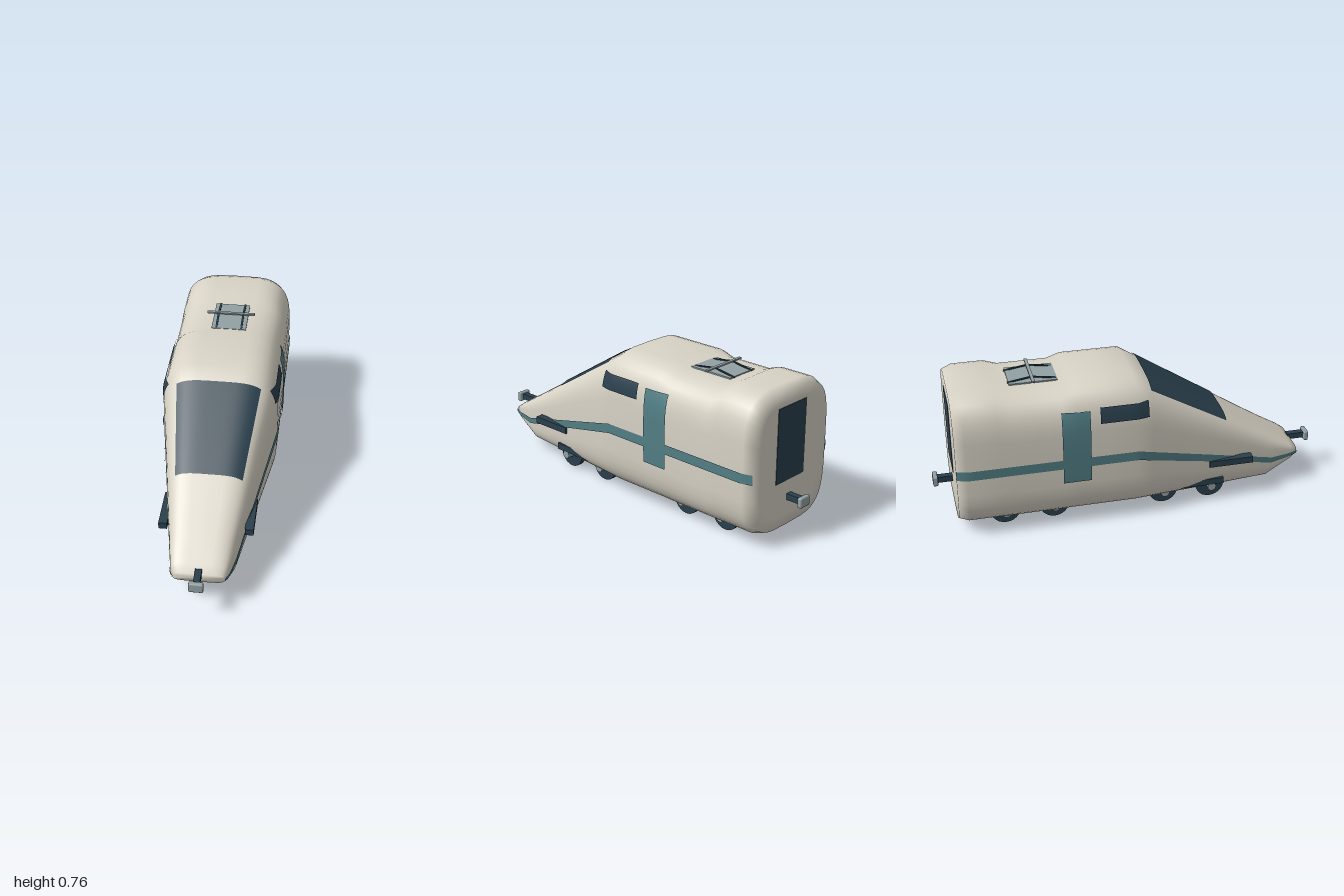
import * as THREE from 'three';
import { RoundedBoxGeometry } from 'three/addons/geometries/RoundedBoxGeometry.js';

// Hull stations: z, half width, bottom y, top y
const STATIONS = [
  [-0.9, 0.275, 0.055, 0.742], [-0.85, 0.293, 0.04, 0.76], [-0.69, 0.293, 0.04, 0.76],
  [-0.62, 0.293, 0.04, 0.735], [-0.37, 0.293, 0.04, 0.735], [-0.3, 0.293, 0.04, 0.76],
  [-0.15, 0.293, 0.04, 0.76], [0, 0.293, 0.04, 0.76], [0.08, 0.279, 0.04, 0.71],
  [0.3, 0.239, 0.04, 0.573], [0.49, 0.205, 0.04, 0.455], [0.73, 0.162, 0.042, 0.306],
  [0.86, 0.138, 0.122, 0.227], [0.9, 0.12, 0.15, 0.198],
];
// Side stripe: z, bottom y, top y
const STRIPE = [[-0.9, 0.35, 0.4], [0, 0.35, 0.4], [0.75, 0.147, 0.178], [0.9, 0.165, 0.18]];

// Piecewise linear lookup in a table keyed by z
function lookup(table, z) {
  let i = 0;
  while (i < table.length - 2 && z > table[i + 1][0]) i++;
  const a = table[i], b = table[i + 1];
  const t = (z - a[0]) / (b[0] - a[0]);
  return a.slice(1).map((v, k) => THREE.MathUtils.lerp(v, b[k + 1], t));
}

// Points on the fourth-power superellipse hull
const curve = (r) => Math.pow(Math.max(0, 1 - r ** 4), 0.25);
function sideX(z, y) {
  const [w, lo, hi] = lookup(STATIONS, z);
  return w * curve((y - (lo + hi) / 2) / ((hi - lo) / 2));
}
function topY(z, x) {
  const [w, lo, hi] = lookup(STATIONS, z);
  return (lo + hi) / 2 + ((hi - lo) / 2) * curve(x / w);
}

function hullGeometry() {
  const N = 40, pos = [], index = [];
  // An inset ring at the rear keeps the end wall flat
  const rings = [[-0.9, 0.225, 0.115, 0.685], ...STATIONS];
  const root = (v) => Math.sign(v) * Math.sqrt(Math.abs(v));
  for (const [z, w, lo, hi] of rings) {
    for (let i = 0; i < N; i++) {
      const a = (i / N) * Math.PI * 2;
      pos.push(w * root(Math.cos(a)), (lo + hi) / 2 + ((hi - lo) / 2) * root(Math.sin(a)), z);
    }
  }
  for (let r = 0; r < rings.length - 1; r++) {
    for (let i = 0; i < N; i++) {
      const j = (i + 1) % N;
      const a = r * N + i, b = r * N + j, c = a + N, d = b + N;
      index.push(a, b, d, a, d, c);
    }
  }
  // End caps
  const rear = rings.length * N, front = rear + 1, last = (rings.length - 1) * N;
  pos.push(0, 0.4, -0.9, 0, 0.174, 0.9);
  for (let i = 0; i < N; i++) {
    const j = (i + 1) % N;
    index.push(rear, j, i, front, last + i, last + j);
  }
  return surface(pos, index);
}

function surface(pos, index) {
  const g = new THREE.BufferGeometry();
  g.setAttribute('position', new THREE.Float32BufferAttribute(pos, 3));
  g.setIndex(index);
  g.computeVertexNormals();
  return g;
}

// Grid surface from a rule (u, v) -> [x, y, z]
function patch(nu, nv, rule) {
  const pos = [], index = [];
  for (let i = 0; i <= nu; i++) for (let j = 0; j <= nv; j++) pos.push(...rule(i / nu, j / nv));
  for (let i = 0; i < nu; i++) {
    for (let j = 0; j < nv; j++) {
      const a = i * (nv + 1) + j, b = a + nv + 1;
      index.push(a, b, b + 1, a, b + 1, a + 1);
    }
  }
  return surface(pos, index);
}

export function createModel() {
  const group = new THREE.Group();
  const material = (name, color, side = THREE.FrontSide) => {
    const m = new THREE.MeshStandardMaterial({ color, side });
    m.name = name;
    return m;
  };
  const cream = material('cream paint', 0xd8d3c6);
  const teal = material('teal paint', 0x527f86, THREE.DoubleSide);
  const dark = material('dark blue grey', 0x2a404d, THREE.DoubleSide);
  const grey = material('light grey metal', 0x93a1a4);

  const add = (name, geometry, mat, x = 0, y = 0, z = 0) => {
    const mesh = new THREE.Mesh(geometry, mat);
    mesh.name = name;
    mesh.position.set(x, y, z);
    group.add(mesh);
    return mesh;
  };
  const box = (name, mat, w, h, d, x, y, z) => add(name, new THREE.BoxGeometry(w, h, d), mat, x, y, z);
  const lerp = THREE.MathUtils.lerp;

  add('body', hullGeometry(), cream);

  // Windshield follows the sloping nose
  add('windshield', patch(12, 20, (u, v) => {
    const z = lerp(0.08, 0.49, u);
    const x = lerp(0.21, 0.163, u) * (v * 2 - 1);
    return [x, topY(z, x) + 0.006, z];
  }), dark);

  for (const [label, s] of [['left', 1], ['right', -1]]) {
    // Painted parts and glass wrapped on the flank
    const panel = (name, mat, z0, z1, y0, y1) => add(name, patch(8, 12, (u, v) => {
      const z = lerp(z0, z1, u), y = lerp(y0, y1, v);
      return [s * (sideX(z, y) + 0.007), y, z];
    }), mat);
    add(label + 'Stripe', patch(60, 3, (u, v) => {
      const z = lerp(-0.9, 0.9, u);
      const [lo, hi] = lookup(STRIPE, z);
      const y = lerp(lo, hi, v);
      return [s * (sideX(z, y) + 0.005), y, z];
    }), teal);
    panel(label + 'Door', teal, -0.38, -0.24, 0.27, 0.65);
    panel(label + 'CabWindow', dark, -0.19, 0.055, 0.58, 0.66);

    box(label + 'Headlight', dark, 0.042, 0.035, 0.23, s * 0.21, 0.225, 0.505);

    // Bogie frames and wheels
    for (const zc of [0.285, -0.535]) {
      box(label + 'BogieFrame', dark, 0.025, 0.033, 0.37, s * 0.205, 0.112, zc);
      for (const dz of [0.125, -0.125]) {
        const wheel = new THREE.CylinderGeometry(0.075, 0.075, 0.028, 24).rotateZ(Math.PI / 2);
        add(label + 'Wheel', wheel, dark, s * 0.157, 0.075, zc + dz);
      }
    }
  }

  // Axles
  for (const z of [0.41, 0.16, -0.41, -0.66]) {
    add('axle', new THREE.CylinderGeometry(0.022, 0.022, 0.43, 16).rotateZ(Math.PI / 2), grey, 0, 0.078, z);
  }

  // Couplers at both ends
  for (const [label, s] of [['front', 1], ['rear', -1]]) {
    box(label + 'CouplerShaft', dark, 0.032, 0.032, 0.1, 0, 0.201, s * 0.935);
    add(label + 'CouplerHead', new RoundedBoxGeometry(0.07, 0.052, 0.025, 1, 0.007), grey, 0, 0.201, s * 0.9875);
  }

  box('rearGrille', dark, 0.21, 0.38, 0.006, 0, 0.48, -0.9);

  // Folded current collector in the roof recess
  box('collectorBase', grey, 0.18, 0.008, 0.24, 0, 0.736, -0.48);
  for (const x of [-0.065, 0.065]) {
    for (const dz of [-0.06, 0.06]) {
      const arm = box('collectorArm', dark, 0.01, 0.005, 0.122, x, 0.747, -0.485 + dz);
      arm.rotation.x = Math.sign(dz) * 0.15;
    }
  }
  box('collectorBar', grey, 0.25, 0.008, 0.016, 0, 0.757, -0.485);

  return group;
}
